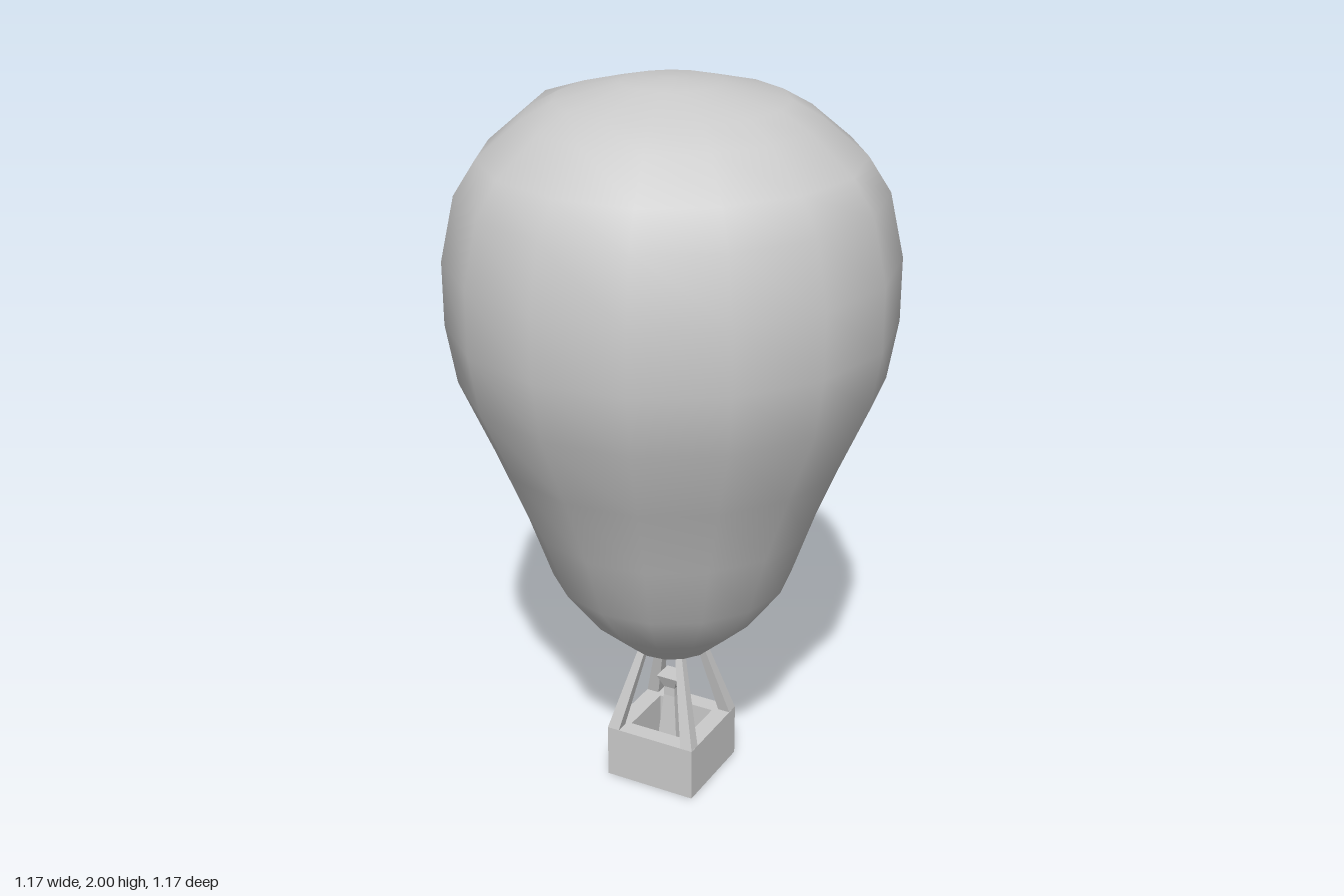
import * as THREE from 'three';
import { mergeVertices } from 'three/addons/utils/BufferGeometryUtils.js';

const material = new THREE.MeshStandardMaterial({ color: 0xcccccc, side: THREE.DoubleSide });
const SIDES = 15;

function add(parent, name, geometry) {
  const mesh = new THREE.Mesh(geometry, material);
  mesh.name = name;
  parent.add(mesh);
  return mesh;
}

// Square bar whose ends may differ in size and position: [x, y, z, halfWidth]
function taperedBar(bottom, top) {
  const geo = new THREE.BoxGeometry(2, 2, 2);
  const pos = geo.attributes.position;
  for (let i = 0; i < pos.count; i++) {
    const [x, y, z, h] = pos.getY(i) > 0 ? top : bottom;
    pos.setXYZ(i, x + pos.getX(i) * h, y, z + pos.getZ(i) * h);
  }
  geo.computeVertexNormals();
  return geo;
}

// Fifteen-sided balloon skin with a slightly raised shoulder at the back
function envelopeGeometry() {
  const profile = [
    [0.125, 0.415], [0.232, 0.51], [0.33, 0.64], [0.393, 0.82], [0.475, 1.02],
    [0.563, 1.22], [0.59, 1.38], [0.59, 1.55], [0.552, 1.72], [0.494, 1.81],
    [0.38, 1.905], [0.3, 1.95], [0.13, 1.992], [0, 2],
  ].map(([r, y]) => new THREE.Vector2(r, y));
  let geo = new THREE.LatheGeometry(profile, SIDES, Math.PI / 2);
  geo.deleteAttribute('uv');
  geo.deleteAttribute('normal');
  geo = mergeVertices(geo, 1e-4);
  const pos = geo.attributes.position;
  for (let i = 0; i < pos.count; i++) {
    const x = pos.getX(i), z = pos.getZ(i);
    const angle = (Math.atan2(-z, x) * 180 / Math.PI + 360) % 360;
    const backShoulder = angle > 90 && angle < 170;
    if (backShoulder && Math.abs(pos.getY(i) - 1.905) < 0.01) {
      pos.setX(i, x * 1.15);
      pos.setZ(i, z * 1.15);
    }
  }
  geo.computeVertexNormals();
  return geo;
}

// Square tub walls extruded upward around a square opening
function basketWalls(half, inner, height) {
  const square = (h) => [[-h, -h], [h, -h], [h, h], [-h, h]].map(([x, y]) => new THREE.Vector2(x, y));
  const shape = new THREE.Shape(square(half));
  shape.holes.push(new THREE.Path(square(inner).reverse()));
  return new THREE.ExtrudeGeometry(shape, { depth: height, bevelEnabled: false }).rotateX(-Math.PI / 2);
}

export function createModel() {
  const model = new THREE.Group();
  model.name = 'hotAirBalloon';

  // Envelope and its closed mouth
  const envelope = new THREE.Group();
  envelope.name = 'envelope';
  envelope.position.x = -0.007;
  add(envelope, 'envelopeSkin', envelopeGeometry());
  const mouth = add(envelope, 'envelopeMouth', new THREE.CircleGeometry(0.125, SIDES).rotateX(Math.PI / 2));
  mouth.position.y = 0.415;
  model.add(envelope);

  // Gondola
  const gondola = new THREE.Group();
  gondola.name = 'gondola';
  gondola.position.set(-0.006, 0, 0.004);
  add(gondola, 'basketWalls', basketWalls(0.135, 0.085, 0.155));
  const floor = add(gondola, 'basketFloor', new THREE.BoxGeometry(0.26, 0.03, 0.26));
  floor.position.y = 0.016;

  // Four leaning corner posts
  for (const sx of [-1, 1]) {
    for (const sz of [-1, 1]) {
      add(gondola, 'cornerPost', taperedBar(
        [sx * 0.117, 0.154, sz * 0.117, 0.018],
        [sx * 0.052, 0.425, sz * 0.052, 0.01]));
    }
  }

  // Burner: tapering stand, neck and flared head
  const burner = new THREE.Group();
  burner.name = 'burner';
  add(burner, 'burnerStand', taperedBar([0, 0.03, 0, 0.036], [0, 0.235, 0, 0.017]));
  add(burner, 'burnerNeck', taperedBar([0, 0.235, 0, 0.017], [0, 0.262, 0, 0.017]));
  add(burner, 'burnerHead', taperedBar([0, 0.262, 0, 0.017], [0, 0.3, 0, 0.032]));
  gondola.add(burner);
  model.add(gondola);

  return model;
}
